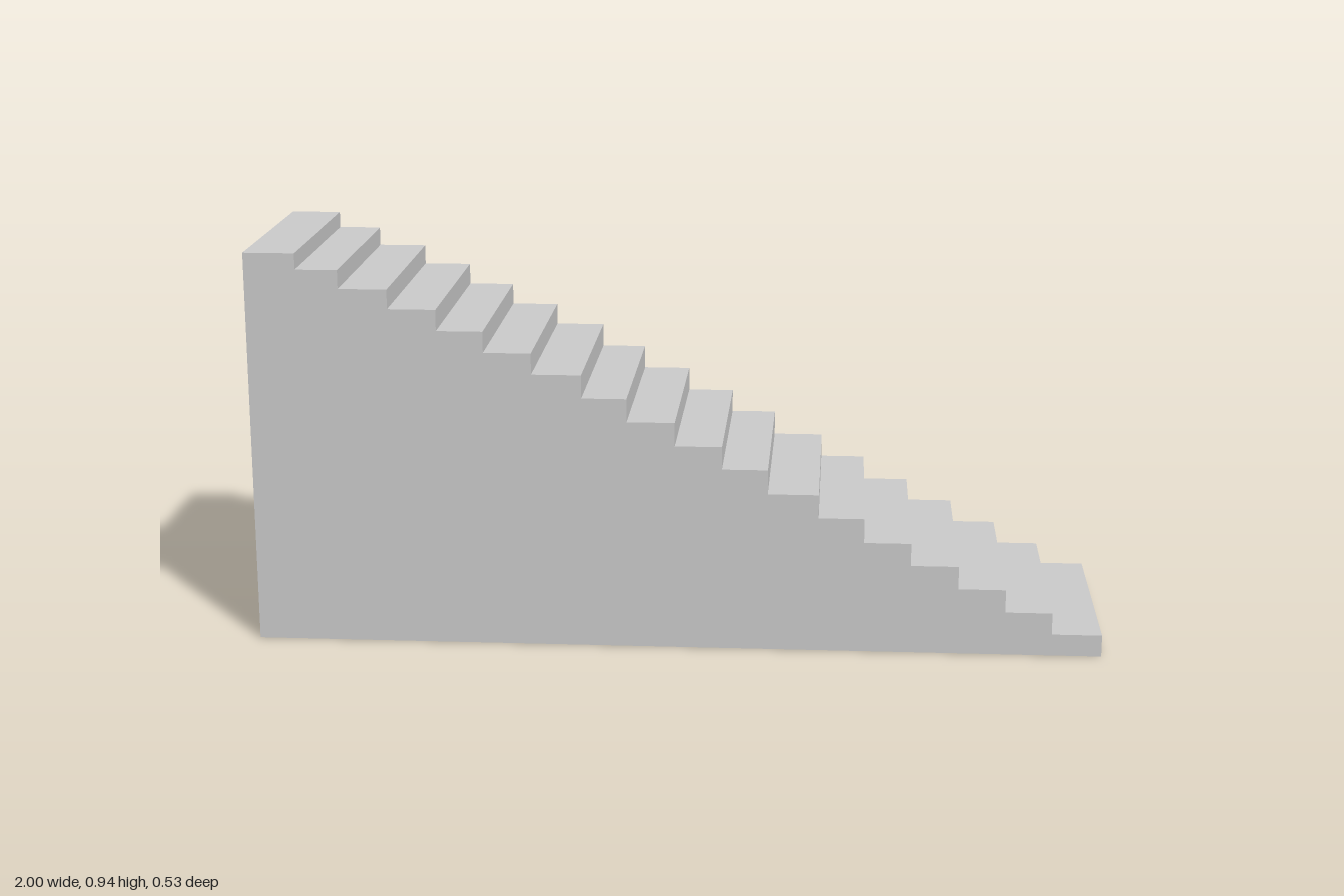
import * as THREE from 'three';

// Each step from the top down: [x of its nosing, tread height]
const STEPS = [
  [-0.88, 0.938], [-0.78, 0.9], [-0.667, 0.856], [-0.555, 0.81], [-0.447, 0.76], [-0.336, 0.71],
  [-0.22, 0.66], [-0.115, 0.605], [-0.003, 0.55], [0.107, 0.494], [0.214, 0.44], [0.333, 0.382],
  [0.44, 0.326], [0.55, 0.268], [0.662, 0.214], [0.773, 0.159], [0.883, 0.104], [1, 0.052],
];
const DEPTH = 0.534;

export function createModel() {
  const group = new THREE.Group();
  group.name = 'staircase';

  // Stepped side profile, counter-clockwise from the foot of the tall end
  const points = [new THREE.Vector2(-1, 0), new THREE.Vector2(1, 0)];
  for (let i = STEPS.length - 1; i >= 0; i--) {
    const [nosing, height] = STEPS[i];
    const back = i > 0 ? STEPS[i - 1][0] : -1;
    points.push(new THREE.Vector2(nosing, height), new THREE.Vector2(back, height));
  }

  // Solid flight of steps, extruded across its width
  const geometry = new THREE.ExtrudeGeometry(new THREE.Shape(points), { depth: DEPTH, bevelEnabled: false });
  geometry.translate(0, 0, -DEPTH / 2);
  const flight = new THREE.Mesh(geometry, new THREE.MeshStandardMaterial({ color: 0xcccccc, flatShading: true }));
  flight.name = 'solidStairFlight';
  group.add(flight);

  return group;
}
